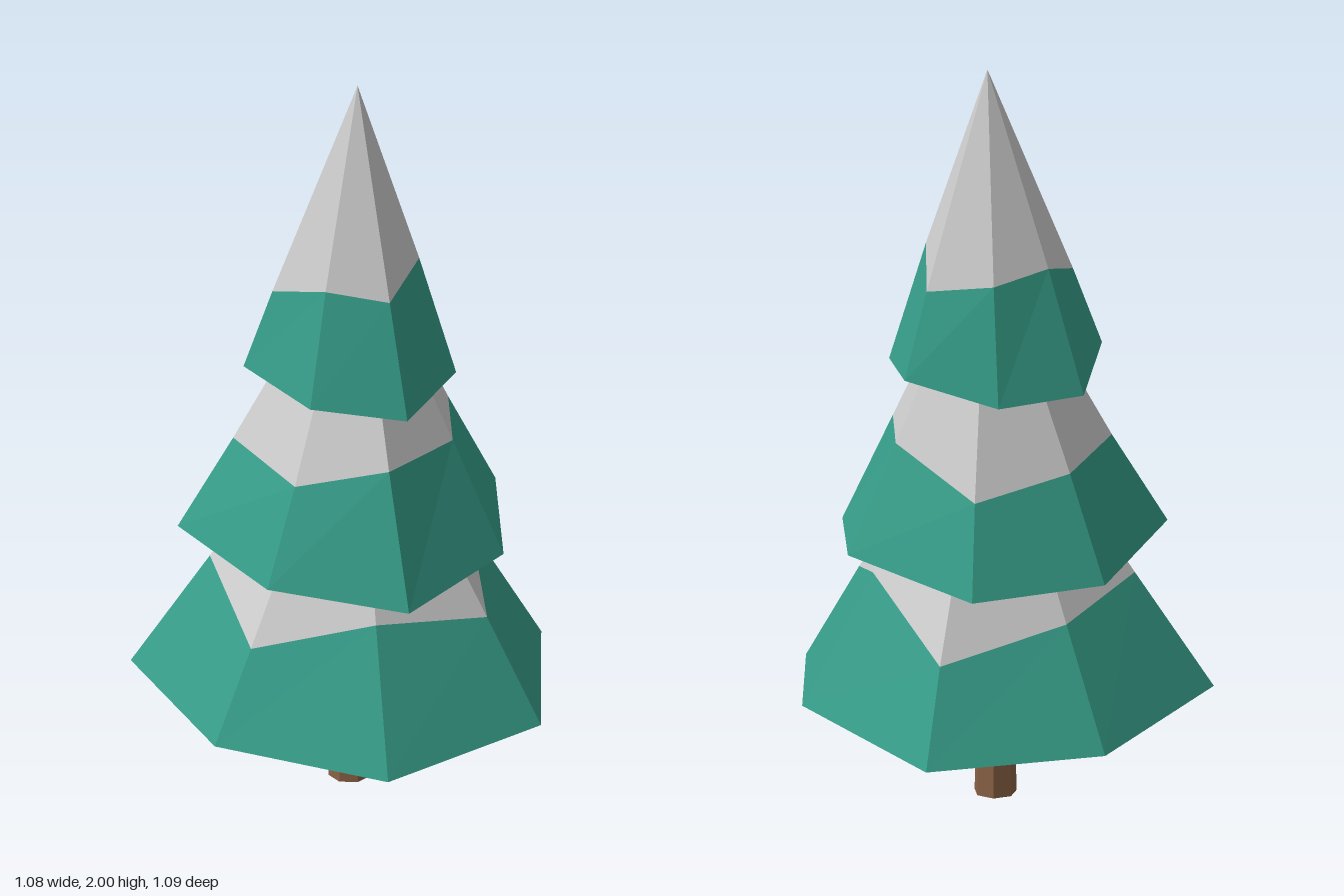
import * as THREE from 'three';

const material = (color) => new THREE.MeshStandardMaterial({ color, flatShading: true });

// Closed fan or band between rings that run counter-clockwise seen from above
function surface(name, mat, triangles) {
  const geometry = new THREE.BufferGeometry();
  geometry.setAttribute('position', new THREE.Float32BufferAttribute(triangles.flat(2), 3));
  geometry.computeVertexNormals();
  const mesh = new THREE.Mesh(geometry, mat);
  mesh.name = name;
  return mesh;
}

// One tier: hem ring, snow line ring, apex of the cone and centre of the underside
const TIERS = [
  {
    name: 'lowerTier',
    hem: [[0.54, 0.275, 0.02], [0.31, 0.31, -0.395], [-0.15, 0.26, -0.545], [-0.49, 0.26, -0.205],
      [-0.54, 0.31, 0.27], [-0.14, 0.275, 0.54], [0.325, 0.245, 0.45]],
    snow: [[0.38, 0.55, 0.02], [0.19, 0.65, -0.235], [-0.11, 0.5, -0.405], [-0.33, 0.57, -0.13],
      [-0.355, 0.62, 0.18], [-0.105, 0.51, 0.41], [0.2, 0.6, 0.29]],
    apex: [-0.01, 1.2, 0.02], under: [-0.02, 0.29, 0.02],
  },
  {
    name: 'middleTier',
    hem: [[0.39, 0.705, -0.05], [0.19, 0.74, -0.365], [-0.195, 0.685, -0.385], [-0.425, 0.685, -0.095],
      [-0.395, 0.74, 0.28], [-0.045, 0.705, 0.43], [0.315, 0.675, 0.32]],
    snow: [[0.25, 1.01, -0.03], [0.125, 1.02, -0.23], [-0.145, 0.92, -0.285], [-0.3, 0.96, -0.06],
      [-0.28, 0.985, 0.19], [-0.03, 0.955, 0.31], [0.2, 1.015, 0.22]],
    apex: [-0.01, 1.58, 0.01], under: [-0.02, 0.71, 0.02],
  },
  {
    name: 'upperTier',
    hem: [[0.235, 1.185, -0.075], [0.075, 1.215, -0.27], [-0.175, 1.165, -0.215], [-0.315, 1.165, -0.015],
      [-0.23, 1.22, 0.225], [0.01, 1.185, 0.3], [0.235, 1.155, 0.185]],
    snow: [[0.145, 1.51, -0.04], [0.055, 1.44, -0.19], [-0.12, 1.47, -0.145], [-0.2, 1.49, 0],
      [-0.172, 1.43, 0.175], [0, 1.48, 0.2], [0.152, 1.455, 0.13]],
    apex: [-0.005, 2, 0.02], under: [-0.02, 1.185, 0.02],
  },
];

export function createModel() {
  const tree = new THREE.Group();
  tree.name = 'snowyTree';
  const green = material(0x369c88);
  const white = material(0xcccccc);
  const brown = material(0x8a6245);

  // Trunk
  const trunk = new THREE.Mesh(new THREE.CylinderGeometry(0.05, 0.056, 0.34, 7), brown);
  trunk.name = 'trunk';
  trunk.position.set(-0.025, 0.17, 0.026);
  tree.add(trunk);

  // Foliage skirts with their snow caps
  for (const { name, hem, snow, apex, under } of TIERS) {
    const foliage = [];
    const cap = [];
    hem.forEach((a, i) => {
      const j = (i + 1) % hem.length;
      const b = hem[j];
      foliage.push([a, b, snow[j]], [a, snow[j], snow[i]], [b, a, under]);
      cap.push([snow[i], snow[j], apex]);
    });
    const tier = new THREE.Group();
    tier.name = name;
    tier.add(surface('foliage', green, foliage), surface('snowCap', white, cap));
    tree.add(tier);
  }
  return tree;
}
